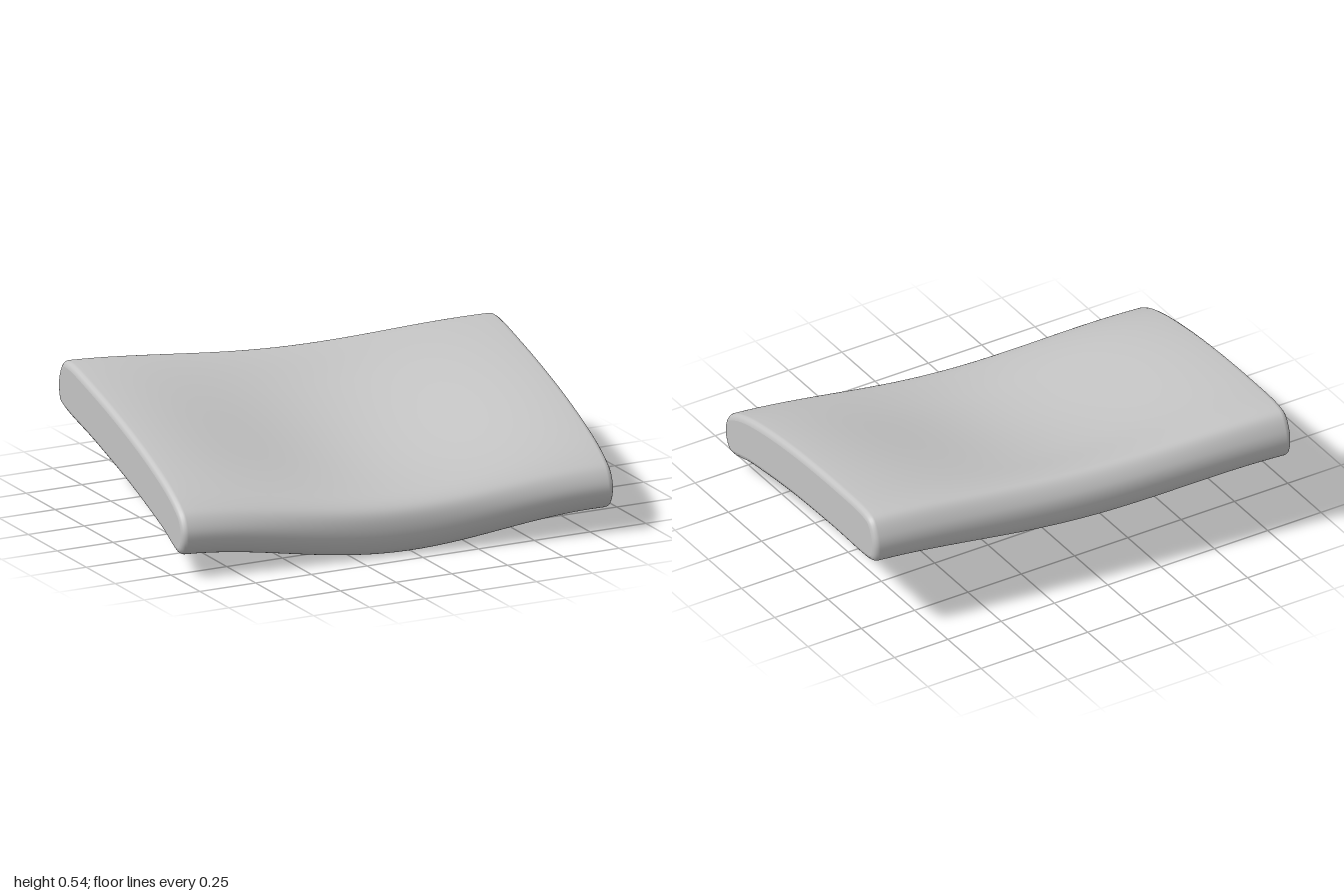
import * as THREE from 'three';

// Cross-sections as [z, y]: front bottom, up over the top, down the back, along the base
const END = [[.65, .09], [.69, .13], [.70, .19], [.67, .25], [.615, .287], [.5, .335], [.265, .40], [0, .455], [-.335, .508],
  [-.59, .535], [-.65, .523], [-.69, .467], [-.70, .415], [-.685, .355], [-.65, .335], [-.3, .285], [.095, .22], [.45, .142]];
const MID = [[.65, .0], [.69, .05], [.70, .12], [.685, .18], [.64, .215], [.5, .245], [.265, .275], [0, .325], [-.335, .41],
  [-.57, .48], [-.64, .485], [-.69, .43], [-.70, .37], [-.68, .30], [-.63, .28], [-.3, .205], [.095, .11], [.45, .037]];
const HALF = 0.92, ROUND = 0.025, N = 108;

// Smooth closed section for a position t from -1 to 1, pulled inwards by inset
function section(t, inset) {
  const k = Math.cos(t * Math.PI / 2) ** 2;
  const points = END.map(([z, y], i) => new THREE.Vector3(
    0, THREE.MathUtils.lerp(y, MID[i][1], k), THREE.MathUtils.lerp(z, MID[i][0], k)));
  const curve = new THREE.CatmullRomCurve3(points, true);
  return Array.from({ length: N }, (_, i) => {
    const p = curve.getPoint(i / N), d = curve.getTangent(i / N);
    return [p.z + d.y * -inset, p.y + d.z * inset];
  });
}

// Stations along the width, with a small quarter-round at each end
function stations() {
  const right = [];
  for (let i = 0; i <= 4; i++) {
    const a = (i / 4) * Math.PI / 2;
    right.push([HALF - ROUND + ROUND * Math.sin(a), ROUND * (1 - Math.cos(a))]);
  }
  const left = right.map(([x, inset]) => [-x, inset]).reverse();
  const middle = [];
  for (let i = 1; i < 32; i++) middle.push([(HALF - ROUND) * (i / 16 - 1), 0]);
  return [...left, ...middle, ...right];
}

function meshGeometry(positions, index) {
  const g = new THREE.BufferGeometry();
  g.setAttribute('position', new THREE.Float32BufferAttribute(positions, 3));
  g.setIndex(index);
  g.computeVertexNormals();
  return g;
}

function wrapGeometry() {
  const positions = [], index = [], rings = stations();
  for (const [x, inset] of rings) {
    for (const [z, y] of section(x / HALF, inset)) positions.push(x, y, z);
  }
  for (let j = 0; j < rings.length - 1; j++) {
    for (let i = 0; i < N; i++) {
      const a = j * N + i, c = j * N + (i + 1) % N;
      index.push(a, a + N, c, a + N, c + N, c);
    }
  }
  return meshGeometry(positions, index);
}

// Flat end panel, side is 1 or -1
function endGeometry(side) {
  const positions = [side * HALF, 0.32, 0], index = [];
  for (const [z, y] of section(side, ROUND)) positions.push(side * HALF, y, z);
  for (let i = 0; i < N; i++) {
    const a = 1 + i, b = 1 + (i + 1) % N;
    if (side > 0) index.push(0, b, a);
    else index.push(0, a, b);
  }
  return meshGeometry(positions, index);
}

export function createModel() {
  const fabric = new THREE.MeshStandardMaterial({ color: 0xc4c4c4 });
  fabric.name = 'greyFabric';
  const group = new THREE.Group();
  group.name = 'seatCushion';

  const add = (name, geometry) => {
    const mesh = new THREE.Mesh(geometry, fabric);
    mesh.name = name;
    group.add(mesh);
  };
  add('cushionBody', wrapGeometry());
  add('leftEndPanel', endGeometry(1));
  add('rightEndPanel', endGeometry(-1));

  // The cushion sits slightly turned
  group.rotation.y = -0.114;
  return group;
}
